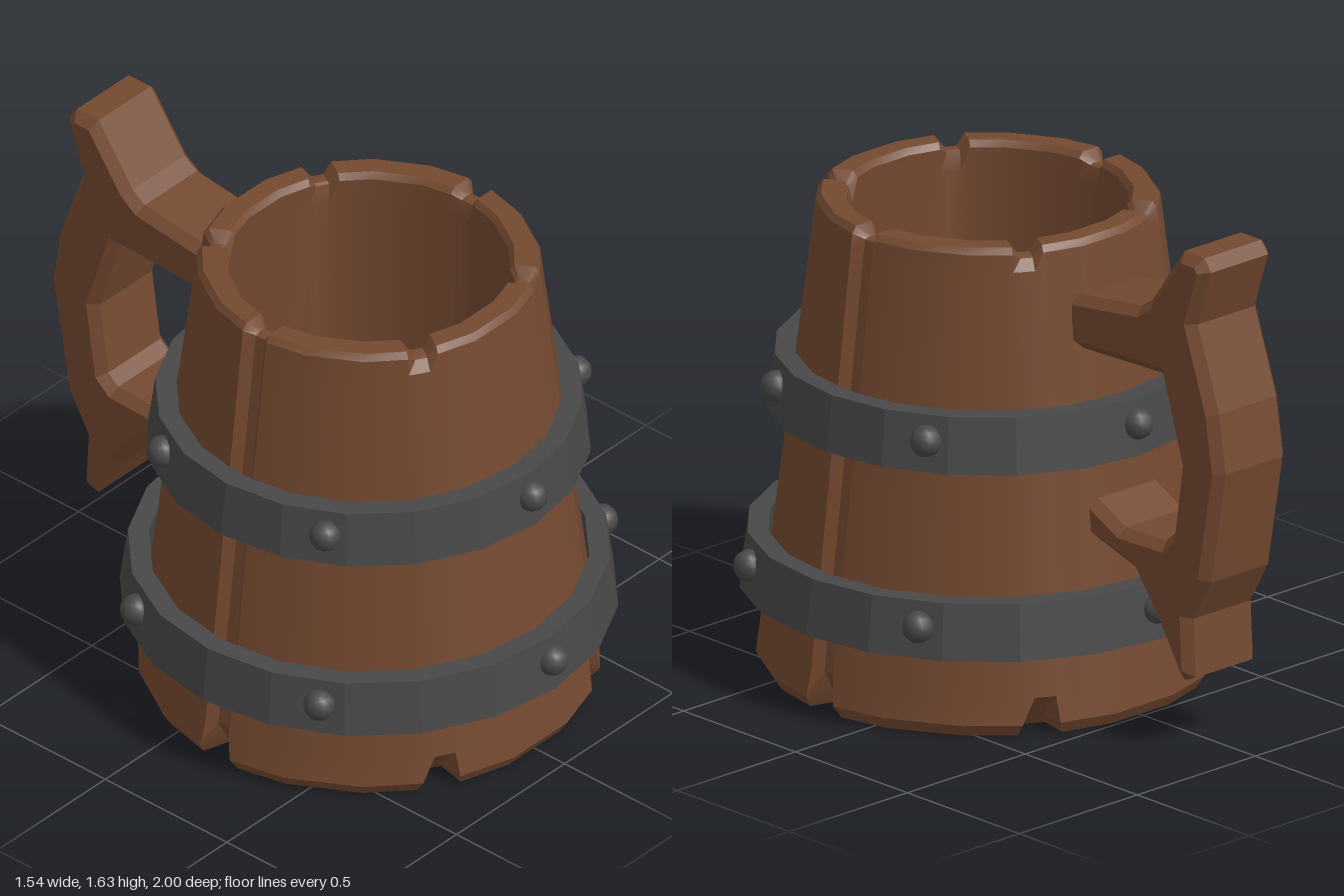
import * as THREE from 'three';
import { toCreasedNormals } from 'three/addons/utils/BufferGeometryUtils.js';

const AXIS_Z = 0.195; // the barrel sits forward of the handle
const wood = new THREE.MeshStandardMaterial({ color: 0x744930 });
const woodFlat = new THREE.MeshStandardMaterial({ color: 0x744930, flatShading: true });
const ironFlat = new THREE.MeshStandardMaterial({ color: 0x484848, flatShading: true });
const iron = new THREE.MeshStandardMaterial({ color: 0x484848 });

function add(parent, name, geometry, material) {
  const mesh = new THREE.Mesh(geometry, material);
  mesh.name = name;
  parent.add(mesh);
  return mesh;
}

// Barrel of six staves: a turned profile with a seam pressed in between staves.
// Row: radius, height, seam depth (full seam / end notch only), drop, half widths of the seam.
function barrelGeometry() {
  const rows = [
    [0, 0, 0, 0, 0, 0.07, 0.045],
    [0.69, 0, 0.1, 0.1, 0, 0.07, 0.045],
    [0.715, 0.04, 0.09, 0.09, 0, 0.06, 0.03],
    [0.704, 0.125, 0.03, 0, 0, 0.048, 0.02],
    [0.538, 1.46, 0.03, 0, 0, 0.048, 0.02],
    [0.531, 1.515, 0.03, 0.02, 0.02, 0.048, 0.02],
    [0.515, 1.535, 0.025, 0.02, 0.035, 0.048, 0.02],
    [0.45, 1.535, -0.015, -0.015, 0.035, 0.048, 0.02],
    [0.435, 1.515, -0.02, -0.02, 0.02, 0.048, 0.02],
    [0.44, 1.44, 0, 0, 0, 0.048, 0.02],
    [0.49, 0.14, 0, 0, 0, 0.048, 0.02],
    [0, 0.14, 0, 0, 0, 0.048, 0.02],
  ];
  const columns = 6 * 6;
  const rad = Math.PI / 180;
  const positions = [], index = [];
  for (const [r, y, full, notch, drop, wide, narrow] of rows) {
    for (let c = 0; c < columns; c++) {
      const seam = Math.floor(c / 6), k = c % 6;
      const centre = (30 + seam * 60) * rad;
      const inSeam = k === 1 || k === 2;
      // two of the seams are closed between their end notches
      const depth = inSeam ? (seam === 2 || seam === 5 ? notch : full) : 0;
      const w = Math.max(r, 0.3);
      const offset = [-wide / w, -narrow / w, narrow / w, wide / w, 20 * rad, 40 * rad][k];
      const a = centre + offset, rr = r - depth;
      positions.push(rr * Math.sin(a), y - (inSeam ? drop : 0), rr * Math.cos(a));
    }
  }
  for (let i = 0; i < rows.length - 1; i++) {
    for (let c = 0; c < columns; c++) {
      const n = (c + 1) % columns;
      const a = i * columns + c, b = i * columns + n;
      const d = a + columns, e = b + columns;
      if (rows[i][0] > 0) index.push(a, b, e);
      if (rows[i + 1][0] > 0) index.push(a, e, d);
      else if (rows[i][0] === 0) continue;
    }
  }
  const geometry = new THREE.BufferGeometry();
  geometry.setAttribute('position', new THREE.Float32BufferAttribute(positions, 3));
  geometry.setIndex(index);
  return toCreasedNormals(geometry, 0.45);
}

// Iron hoop with six rivets
function hoop(name, y, bottomRadius, rivetRadius) {
  const group = new THREE.Group();
  group.name = name;
  const profile = [[-0.07, 0], [0, 0], [-0.025, 0.18], [-0.09, 0.18], [-0.07, 0]]
    .map(([dr, dy]) => new THREE.Vector2(bottomRadius + dr, y + dy));
  add(group, 'band', new THREE.LatheGeometry(profile, 20), ironFlat);
  const ball = new THREE.SphereGeometry(0.05, 12, 8);
  for (let i = 0; i < 6; i++) {
    const a = i * Math.PI / 3;
    add(group, 'rivet', ball, iron)
      .position.set(rivetRadius * Math.sin(a), y + 0.1, rivetRadius * Math.cos(a));
  }
  return group;
}

// Chamfered handle cut from a plank; points are distance behind the centre, and height
function handleGeometry() {
  const outline = [
    [0.31, 1.365], [0.38, 1.375], [0.62, 1.405], [0.67, 1.44], [0.81, 1.635], [0.9, 1.635],
    [0.93, 1.595], [0.87, 1.41], [0.965, 1.14], [0.995, 0.95], [0.93, 0.58], [0.85, 0.44],
    [0.86, 0.25], [0.81, 0.23], [0.71, 0.39], [0.6, 0.54], [0.45, 0.585], [0.37, 0.6],
    [0.37, 0.745], [0.43, 0.72], [0.55, 0.66], [0.73, 0.665], [0.77, 0.7], [0.805, 0.94],
    [0.72, 1.21], [0.31, 1.195],
  ];
  const shape = new THREE.Shape(outline.map(([x, y]) => new THREE.Vector2(x, y)));
  const bevel = 0.03, width = 0.3;
  const geometry = new THREE.ExtrudeGeometry(shape, {
    depth: width - 2 * bevel, bevelEnabled: true, bevelSegments: 1,
    bevelThickness: bevel, bevelSize: bevel, bevelOffset: -bevel,
  });
  geometry.translate(0, 0, bevel - width / 2);
  geometry.rotateY(Math.PI / 2); // profile x runs to the back
  return geometry;
}

export function createModel() {
  const model = new THREE.Group();
  model.name = 'tankard';
  const vessel = new THREE.Group();
  vessel.name = 'vessel';
  vessel.position.z = AXIS_Z;
  add(vessel, 'barrel', barrelGeometry(), wood);
  vessel.add(hoop('lowerHoop', 0.27, 0.77, 0.755));
  vessel.add(hoop('upperHoop', 0.85, 0.685, 0.67));
  model.add(vessel);
  add(model, 'handle', handleGeometry(), woodFlat);
  return model;
}
